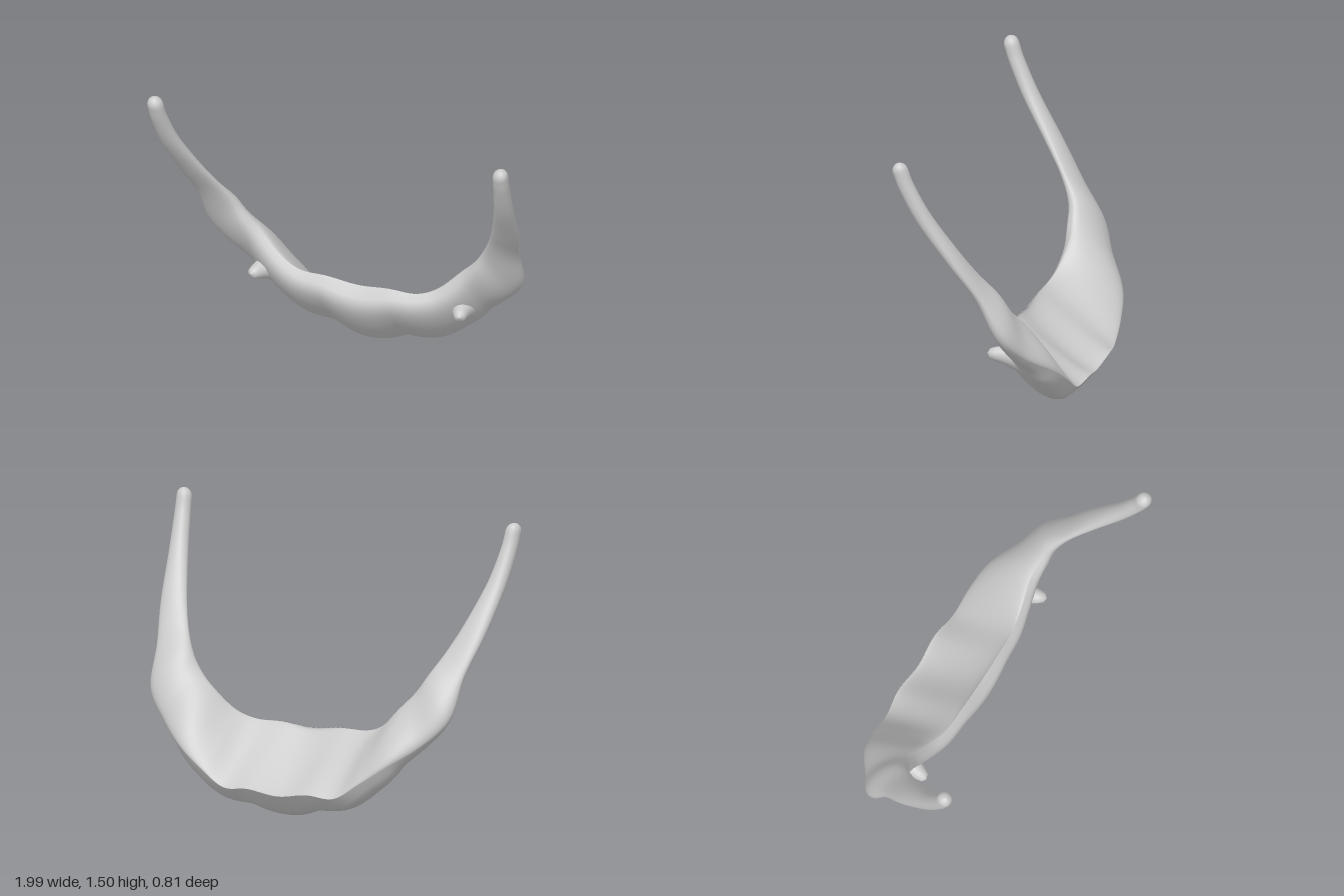
import * as THREE from 'three';

// Half of the arch from the midline to the horn tip.
// Each row: inner edge x,y,z | outer edge x,y,z | front bulge, back bulge
const STATIONS = [
  [0, 0.41, -0.02, 0, 0.115, -0.395, 0.20, -0.035],
  [0.17, 0.425, -0.02, 0.17, 0.14, -0.405, 0.18, -0.02],
  [0.32, 0.425, -0.025, 0.32, 0.13, -0.385, 0.155, 0.005],
  [0.44, 0.47, -0.045, 0.46, 0.215, -0.375, 0.14, 0.03],
  [0.56, 0.58, -0.065, 0.60, 0.31, -0.34, 0.12, 0.05],
  [0.64, 0.67, -0.055, 0.75, 0.415, -0.235, 0.085, 0.055],
  [0.69, 0.75, -0.035, 0.868, 0.55, -0.15, 0.055, 0.06],
  [0.75, 0.86, 0.03, 0.893, 0.76, -0.04, 0.035, 0.032],
  [0.81, 1.0, 0.125, 0.94, 0.95, 0.085, 0.036, 0.036],
  [0.875, 1.2, 0.255, 0.975, 1.18, 0.235, 0.04, 0.04],
  [0.907, 1.36, 0.335, 0.992, 1.36, 0.325, 0.04, 0.04],
  [0.917, 1.45, 0.367, 0.997, 1.455, 0.36, 0.04, 0.04],
];

// Smooth curve through one triple of columns, mirrored across the midline
function mirroredCurve(column, flipX) {
  const half = STATIONS.map((s) => new THREE.Vector3(s[column], s[column + 1], s[column + 2] ?? 0));
  const other = half.slice(1).reverse().map((p) => new THREE.Vector3(flipX ? -p.x : p.x, p.y, p.z));
  return new THREE.CatmullRomCurve3([...other, ...half], false, 'catmullrom', 0.5);
}

function archGeometry() {
  const inner = mirroredCurve(0, true);
  const outer = mirroredCurve(3, true);
  const bulge = mirroredCurve(6, false);
  const SEG = 132, RING = 48, CAP = 5;
  const middle = (t) => inner.getPoint(t).lerp(outer.getPoint(t), 0.5);

  // Rings: position along the arch, scale and push, with domed ends
  const rings = [];
  for (let i = 0; i <= SEG; i++) rings.push([i / SEG, 1, 0]);
  for (let k = 1; k <= CAP; k++) {
    const a = (k / CAP) * Math.PI / 2;
    const scale = Math.max(Math.cos(a), 0.001), push = 0.045 * Math.sin(a);
    rings.push([1, scale, push]);
    rings.unshift([0, scale, -push]);
  }

  const positions = [], index = [];
  rings.forEach(([t, scale, push], i) => {
    const a = inner.getPoint(t), d = outer.getPoint(t).sub(a), mid = middle(t);
    const { x: front, y: back } = bulge.getPoint(t);
    const tangent = middle(Math.min(t + 0.004, 1)).sub(middle(Math.max(t - 0.004, 0))).normalize();
    const normal = d.clone().cross(tangent).normalize();
    const power = Math.max(0.42, 1 - 3 * front); // boxier in the body, round in the horns
    for (let j = 0; j < RING; j++) {
      const angle = (j / RING) * Math.PI * 2;
      const u = (1 - Math.cos(angle)) / 2, s = Math.sin(angle);
      // The front face leans fuller towards the lower edge of the body
      const offset = s >= 0
        ? front * Math.pow(s, power) * (1 + 2 * front * (u - 0.5))
        : back * s;
      const p = a.clone().addScaledVector(d, u).addScaledVector(normal, offset);
      p.sub(mid).multiplyScalar(scale).add(mid).addScaledVector(tangent, push);
      positions.push(p.x, p.y, p.z);
      if (i < rings.length - 1) {
        const p0 = i * RING + j, p1 = i * RING + (j + 1) % RING;
        index.push(p0, p1, p0 + RING, p1, p1 + RING, p0 + RING);
      }
    }
  });
  const geometry = new THREE.BufferGeometry();
  geometry.setAttribute('position', new THREE.Float32BufferAttribute(positions, 3));
  geometry.setIndex(index);
  geometry.computeVertexNormals();
  return geometry;
}

export function createModel() {
  const group = new THREE.Group();
  group.name = 'boneArch';
  const material = new THREE.MeshStandardMaterial({ color: 0xcccccc });

  // Body and both horns in one continuous surface
  const arch = new THREE.Mesh(archGeometry(), material);
  arch.name = 'bodyAndHorns';
  group.add(arch);

  // Small blunt knobs on the front, one per side, flaring into the body
  const profile = [[0.085, 0], [0.065, 0.05], [0.046, 0.1], [0.036, 0.14], [0.025, 0.168], [0, 0.18]]
    .map(([r, y]) => new THREE.Vector2(r, y));
  const knobGeometry = new THREE.LatheGeometry(profile, 20);
  for (const side of [-1, 1]) {
    const knob = new THREE.Mesh(knobGeometry, material);
    knob.name = side > 0 ? 'leftKnob' : 'rightKnob';
    knob.position.set(side * 0.53, 0.345, -0.155);
    knob.rotation.set(Math.PI / 2 - 0.1, 0, -side * 0.28);
    group.add(knob);
  }
  return group;
}
